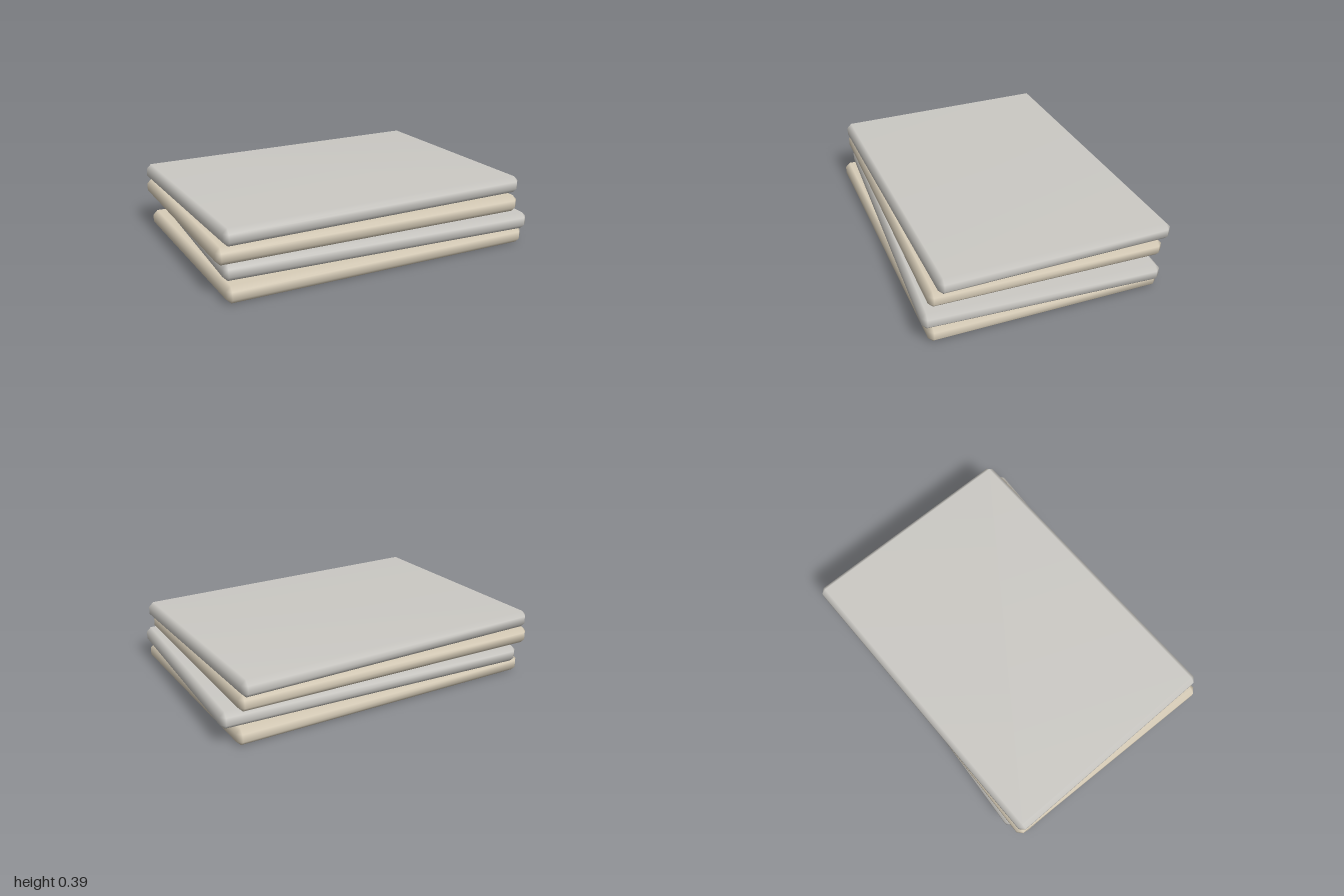
import * as THREE from 'three';
import { ConvexGeometry } from 'three/addons/geometries/ConvexGeometry.js';
import { mergeVertices } from 'three/addons/utils/BufferGeometryUtils.js';

const WIDTH = 1.86, HEIGHT = 0.0975, DEPTH = 1.33, BEVEL = 0.027;

// Box with every edge chamfered once and softly shaded
function chamferedBox(w, h, d, bevel) {
  const half = [w / 2, h / 2, d / 2];
  const points = [];
  for (const sx of [-1, 1]) for (const sy of [-1, 1]) for (const sz of [-1, 1]) {
    for (let axis = 0; axis < 3; axis++) {
      const [x, y, z] = half.map((v, i) => (i === axis ? v : v - bevel));
      points.push(new THREE.Vector3(sx * x, sy * y, sz * z));
    }
  }
  const geometry = new ConvexGeometry(points);
  geometry.deleteAttribute('normal');
  const smooth = mergeVertices(geometry, 1e-5);
  smooth.computeVertexNormals();
  return smooth;
}

export function createModel() {
  const group = new THREE.Group();
  group.name = 'slabStack';
  const geometry = chamferedBox(WIDTH, HEIGHT, DEPTH, BEVEL);
  const beige = new THREE.MeshStandardMaterial({ color: 0xd8cdb8 });
  const grey = new THREE.MeshStandardMaterial({ color: 0xcbc9c4 });

  // Slabs from the bottom up, each shifted and turned a little
  const slabs = [
    { name: 'bottomSlab', x: -0.022, z: 0.012, turn: -0.023, material: beige },
    { name: 'lowerMiddleSlab', x: 0.017, z: 0, turn: -0.073, material: grey },
    { name: 'upperMiddleSlab', x: -0.043, z: -0.02, turn: -0.039, material: beige },
    { name: 'topSlab', x: -0.023, z: -0.036, turn: -0.008, material: grey },
  ];
  slabs.forEach(({ name, x, z, turn, material }, i) => {
    const slab = new THREE.Mesh(geometry, material);
    slab.name = name;
    slab.position.set(x, HEIGHT * (i + 0.5), z);
    slab.rotation.y = turn;
    group.add(slab);
  });
  return group;
}
